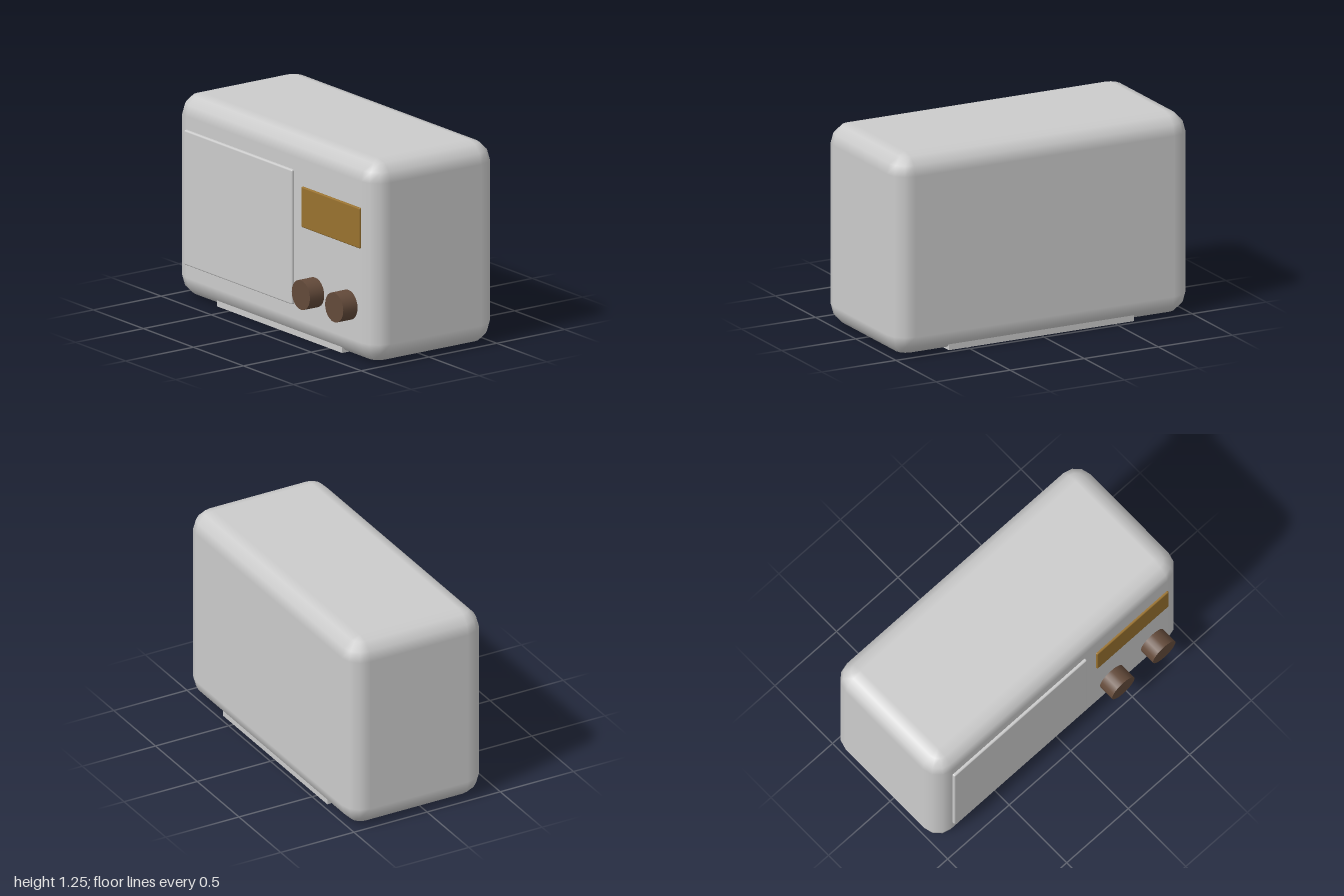
import * as THREE from 'three';
import { RoundedBoxGeometry } from 'three/addons/geometries/RoundedBoxGeometry.js';

const grey = new THREE.MeshStandardMaterial({ color: 0xcccccc });
const amber = new THREE.MeshStandardMaterial({ color: 0x99722f });
const brown = new THREE.MeshStandardMaterial({ color: 0x634a3a });

// Box with ball corners: stacked rounded-rectangle rings, `steps` facets per quarter turn
function softBox(w, h, d, r, steps) {
  const pos = [], nor = [], index = [];
  const ring = 4 * (steps + 1);
  const rows = 2 * (steps + 1);
  const put = (nx, ny, nz, sx, sy, sz) => {
    pos.push(sx * (w / 2 - r) + nx * r, sy * (h / 2 - r) + ny * r, sz * (d / 2 - r) + nz * r);
    nor.push(nx, ny, nz);
  };
  for (let row = 0; row < rows; row++) {
    const sy = row <= steps ? -1 : 1;
    const lat = ((row <= steps ? row - steps : row - steps - 1) / steps) * Math.PI / 2;
    for (let q = 0; q < 4; q++) {
      const sx = q === 0 || q === 3 ? 1 : -1;
      const sz = q < 2 ? 1 : -1;
      for (let i = 0; i <= steps; i++) {
        const a = (q + i / steps) * Math.PI / 2;
        put(Math.cos(a) * Math.cos(lat), Math.sin(lat), Math.sin(a) * Math.cos(lat), sx, sy, sz);
      }
    }
  }
  for (let row = 0; row < rows - 1; row++) {
    for (let i = 0; i < ring; i++) {
      const a = row * ring + i, b = row * ring + (i + 1) % ring;
      index.push(a, a + ring, b, b, a + ring, b + ring);
    }
  }
  // flat bottom and top
  const c = [0, 1, 2, 3].map(q => q * (steps + 1));
  const t = c.map(k => k + (rows - 1) * ring);
  index.push(c[0], c[1], c[2], c[0], c[2], c[3]);
  index.push(t[0], t[2], t[1], t[0], t[3], t[2]);
  const g = new THREE.BufferGeometry();
  g.setAttribute('position', new THREE.Float32BufferAttribute(pos, 3));
  g.setAttribute('normal', new THREE.Float32BufferAttribute(nor, 3));
  g.setIndex(index);
  return g;
}

export function createModel() {
  const model = new THREE.Group();
  model.name = 'tableRadio';
  const add = (name, geometry, material, x, y, z) => {
    const mesh = new THREE.Mesh(geometry, material);
    mesh.name = name;
    mesh.position.set(x, y, z);
    model.add(mesh);
    return mesh;
  };

  // Cabinet and the base strip beneath it
  add('cabinet', softBox(2, 1.25, 0.92, 0.127, 3), grey, 0, 0.625, -0.052);
  add('base', new THREE.BoxGeometry(1.25, 0.04, 0.832), grey, 0, 0.02, -0.052);

  // Speaker panel and tuning dial on the front
  add('speakerPanel', new RoundedBoxGeometry(1.08, 0.832, 0.042, 2, 0.01), grey, -0.335, 0.627, 0.405);
  add('tuningDial', new RoundedBoxGeometry(0.583, 0.25, 0.034, 2, 0.008), amber, 0.582, 0.835, 0.404);

  // Two control knobs
  const knob = new THREE.CylinderGeometry(0.091, 0.091, 0.125, 24).rotateX(Math.PI / 2);
  add('rightKnob', knob, brown, 0.415, 0.335, 0.451);
  add('leftKnob', knob, brown, 0.748, 0.335, 0.451);

  return model;
}
